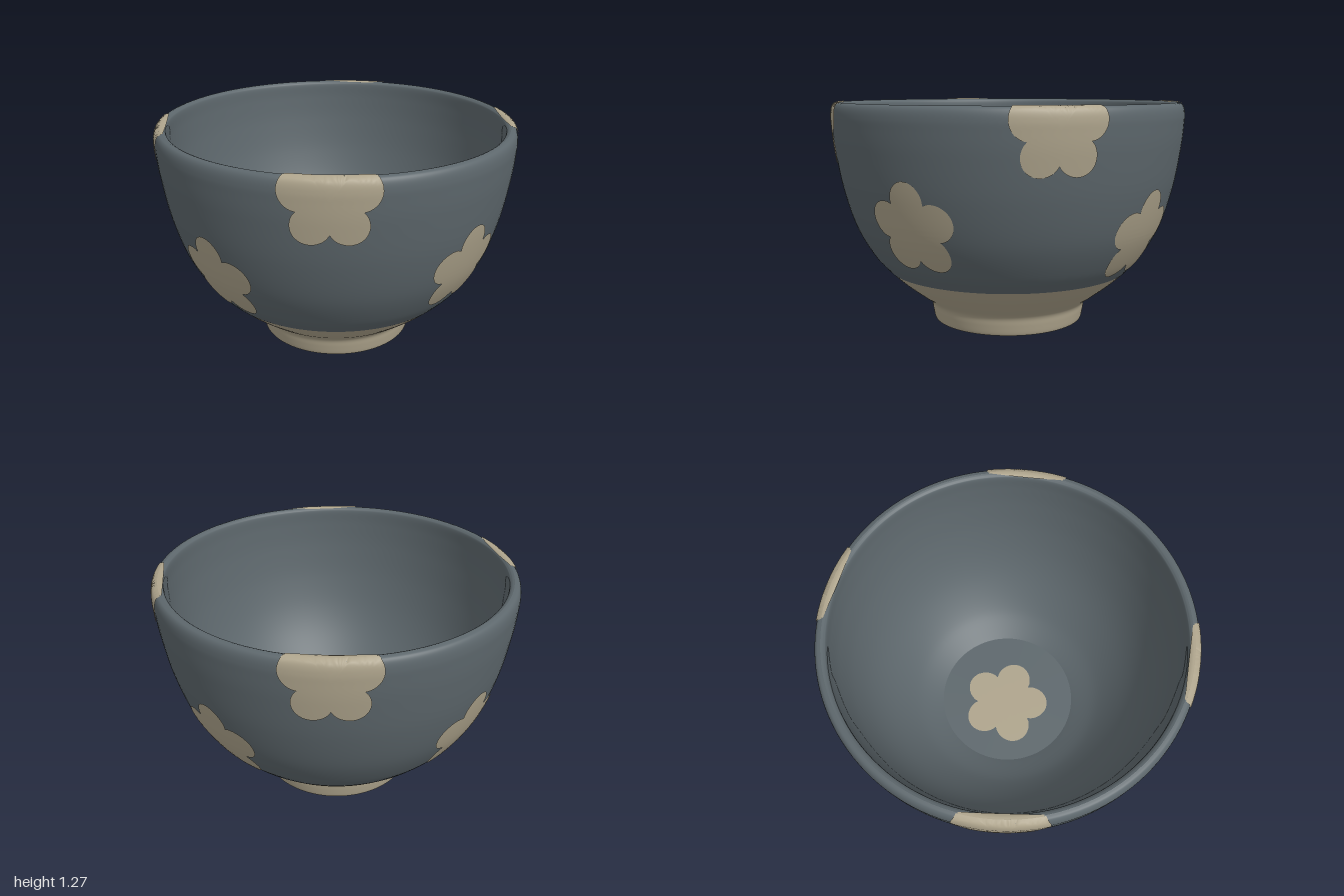
import * as THREE from 'three';

const RIM_Y = 1.262;
const SEGMENTS = 128;
const rad = THREE.MathUtils.degToRad;

const slate = new THREE.MeshStandardMaterial({ color: 0x5d676c });
slate.name = 'slateGlaze';
const beige = new THREE.MeshStandardMaterial({ color: 0xaea48c });
beige.name = 'beigeClay';

// Smooth [radius, y] profile through a few points
function smooth(points, n) {
  return new THREE.SplineCurve(points.map(([r, y]) => new THREE.Vector2(r, y))).getPoints(n);
}

const footProfile = smooth([[0.385, 0.12], [0.403, 0.02], [0.413, 0.004], [0.424, 0], [0.436, 0.01],
  [0.446, 0.06], [0.453, 0.1], [0.475, 0.128], [0.53, 0.168]], 40);
const bandProfile = smooth([[0.53, 0.168], [0.62, 0.238], [0.702, 0.312]], 12);
const wallProfile = smooth([[0.702, 0.312], [0.786, 0.41], [0.879, 0.58], [0.945, 0.8], [0.982, 1.02],
  [0.994, 1.15], [0.995, 1.2], [0.989, 1.235], [0.976, 1.255], [0.955, RIM_Y]], 72);
const innerProfile = smooth([[0.955, RIM_Y], [0.94, 1.255], [0.93, 1.235], [0.926, 1.15], [0.91, 1.0], [0.87, 0.8],
  [0.8, 0.6], [0.7, 0.43], [0.56, 0.275], [0.41, 0.18]], 72);

// Outer wall radius at a height
function wallRadius(y) {
  for (let i = 1; i < wallProfile.length; i++) {
    const a = wallProfile[i - 1], b = wallProfile[i];
    if (y <= b.y) return THREE.MathUtils.mapLinear(y, a.y, b.y, a.x, b.x);
  }
  return wallProfile[wallProfile.length - 1].x;
}

// Grid surface from a rule: point(i, j) for i in 0..ni, j in 0..nj
function gridGeometry(ni, nj, point) {
  const positions = [], index = [];
  for (let i = 0; i <= ni; i++) {
    for (let j = 0; j <= nj; j++) {
      positions.push(...point(i / ni, j / nj));
      if (i < ni && j < nj) {
        const a = i * (nj + 1) + j, b = a + nj + 1;
        index.push(a, b, b + 1, a, b + 1, a + 1);
      }
    }
  }
  const geometry = new THREE.BufferGeometry();
  geometry.setAttribute('position', new THREE.Float32BufferAttribute(positions, 3));
  geometry.setIndex(index);
  geometry.computeVertexNormals();
  return geometry;
}

// Five rounded petals, one pointing up
function petal(t, angle, turn = 0) {
  const r = t * (0.165 + 0.085 * Math.pow(Math.abs(Math.cos(2.5 * angle)), 0.8));
  const a = angle + Math.PI / 2 + turn;
  return [r * Math.cos(a), r * Math.sin(a)];
}

// Flower laid on the outer wall, cut off at the rim
function wallFlower(centreY) {
  return gridGeometry(16, 100, (t, s) => {
    const [u, v] = petal(t, s * Math.PI * 2);
    const y = Math.min(centreY + v, RIM_Y);
    const r = wallRadius(y) + 0.005;
    return [u, y + (y > 1.2 ? 0.003 : 0), Math.sqrt(r * r - u * u)];
  });
}

// Part of a rim flower that lies on the flat of the lip
function lipPatch() {
  return gridGeometry(24, 4, (t, s) => {
    const u = (t - 0.5) * 0.41;
    const outer = Math.sqrt(0.96 * 0.96 - u * u);
    const inner = Math.min(outer, 0.93);
    const z = outer + (inner - outer) * s;
    const r = Math.hypot(u, z);
    return [u, RIM_Y + 0.003 - Math.max(0, 0.945 - r) * 0.4, z];
  });
}

export function createModel() {
  const bowl = new THREE.Group();
  bowl.name = 'bowl';

  function add(parent, name, geometry, material) {
    const mesh = new THREE.Mesh(geometry, material);
    mesh.name = name;
    parent.add(mesh);
    return mesh;
  }
  const lathe = (points) => new THREE.LatheGeometry(points, SEGMENTS);
  const flat = (a, b) => lathe([new THREE.Vector2(...a), new THREE.Vector2(...b)]);

  // Turned body
  add(bowl, 'underside', flat([0, 0.12], [0.385, 0.12]), beige);
  add(bowl, 'foot', lathe(footProfile), beige);
  add(bowl, 'lowerBand', lathe(bandProfile), beige);
  add(bowl, 'outerWall', lathe(wallProfile), slate);
  add(bowl, 'innerWall', lathe(innerProfile), slate);
  add(bowl, 'innerFloor', flat([0.41, 0.18], [0, 0.18]), slate);

  // Lower ring of flowers: [angle from the front, centre height]
  for (const [angle, y] of [[15, 0.65], [98.6, 0.58], [191, 0.6], [285, 0.6]]) {
    add(bowl, 'wallFlower', wallFlower(y), beige).rotation.y = rad(angle);
  }

  // Flowers that run over the rim
  for (const angle of [60.5, 140, 245, 326.5]) {
    const flower = new THREE.Group();
    flower.name = 'rimFlower';
    add(flower, 'rimPetals', wallFlower(1.15), beige);
    add(flower, 'lipPatch', lipPatch(), beige);
    flower.rotation.y = rad(angle);
    bowl.add(flower);
  }

  // Flower on the inside floor
  const floorFlower = gridGeometry(6, 100, (t, s) => {
    const [u, v] = petal(t, s * Math.PI * 2, rad(11));
    return [u * 1.06 - 0.025, 0.185, -v * 1.06 - 0.025];
  });
  add(bowl, 'floorFlower', floorFlower, beige);

  return bowl;
}
